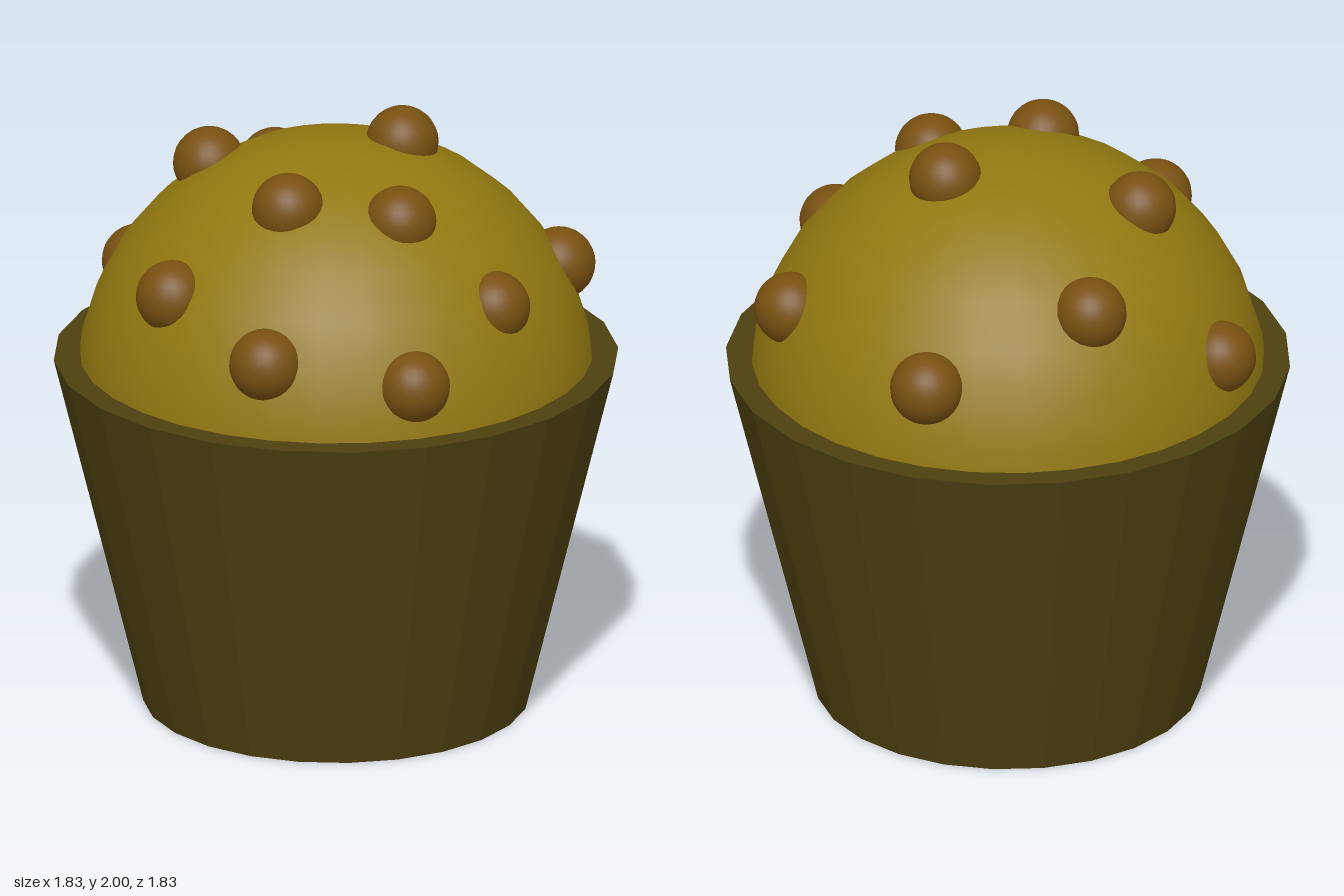
import * as THREE from 'three';

const mat = (name, color, extra = {}) => {
  const m = new THREE.MeshStandardMaterial({ color, ...extra });
  m.name = name;
  return m;
};

export function createModel() {
  const wrapper = mat('wrapper brown', 0x4d4010, { flatShading: true });
  const cake = mat('golden cake', 0x927810);
  const chocolate = mat('chocolate chip', 0x785010);

  const group = new THREE.Group();
  group.name = 'muffin';
  const add = (name, geometry, material, x, y, z, parent = group) => {
    const mesh = new THREE.Mesh(geometry, material);
    mesh.name = name;
    mesh.position.set(x, y, z);
    parent.add(mesh);
    return mesh;
  };

  // Tapered faceted cup
  add('cup', new THREE.CylinderGeometry(0.915, 0.625, 1.18, 24), wrapper, 0, 0.59, 0);

  // Round cake, its lower half sunk into the cup
  add('cakeTop', new THREE.SphereGeometry(0.84, 32, 16), cake, 0, 1.08, 0);

  // Chips half sunk into the cake surface
  const chips = new THREE.Group();
  chips.name = 'chips';
  group.add(chips);
  const chipGeometry = new THREE.SphereGeometry(0.118, 24, 16);
  [
    [0.155, 1.882, -0.17], [-0.44, 1.78, 0.034], [0.01, 1.805, 0.37],
    [0.342, 1.767, 0.225], [-0.435, 1.62, -0.435], [0.6, 1.455, -0.415],
    [0.642, 1.497, 0.147], [-0.757, 1.35, -0.088], [0.01, 1.433, -0.768],
    [-0.295, 1.53, 0.6], [0.107, 1.405, 0.732], [0.543, 1.335, 0.533],
  ].forEach(([x, y, z], i) => add(`chip${i + 1}`, chipGeometry, chocolate, x, y, z, chips));

  return group;
}
